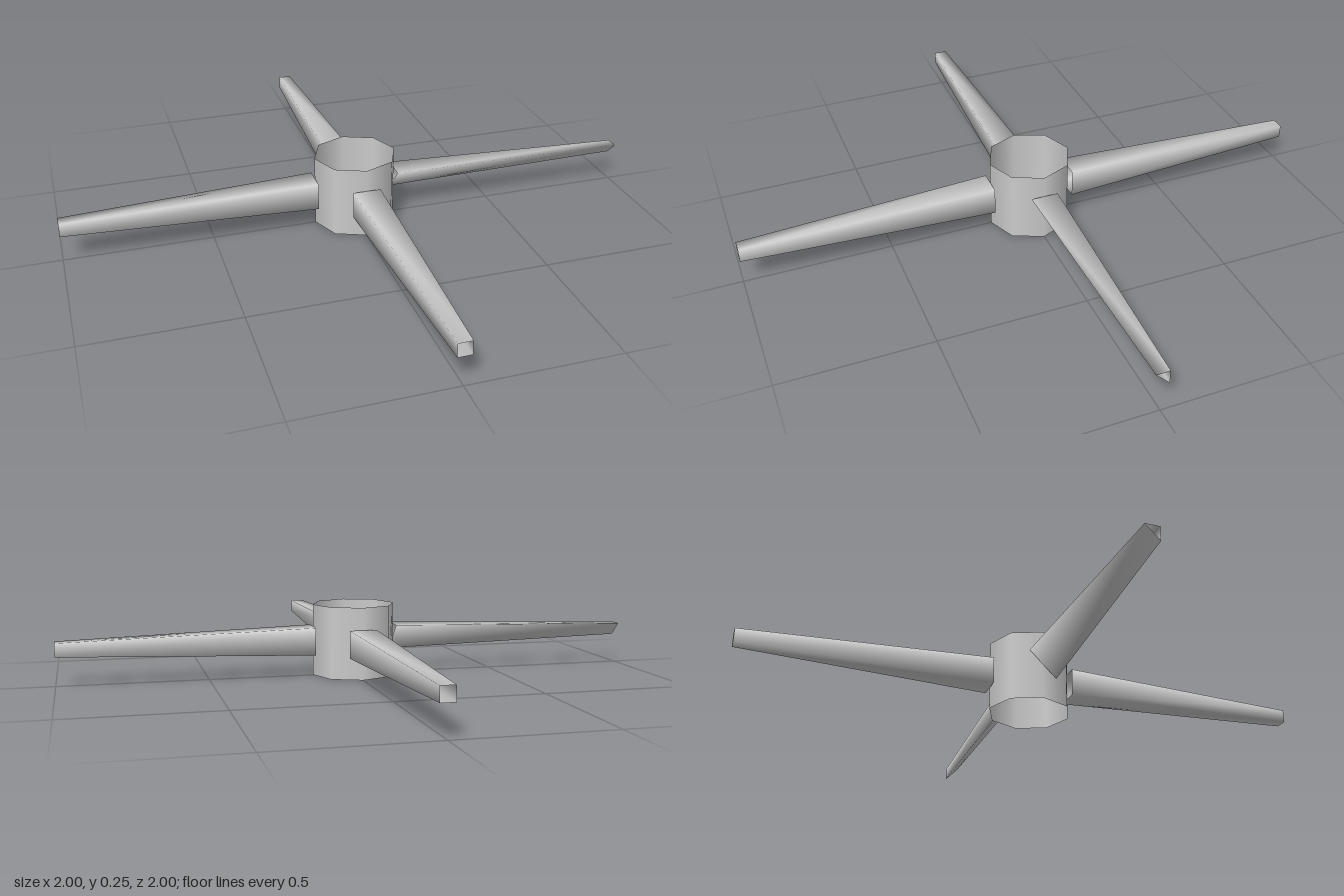
import * as THREE from 'three';

const MID = 0.1225; // height of the arm axes

// Open tapered tube along +x; corners are unit (y, z) pairs in ring order.
function taperedArm(corners, smooth) {
  const stations = [[0.142, 0.047], [1, 0.023]]; // distance from hub axis, half width
  const n = corners.length, pos = [], idx = [];
  for (const [x, h] of stations)
    for (const [y, z] of corners) pos.push(x, y * h, z * h);
  for (let i = 0; i < n; i++) {
    const j = (i + 1) % n;
    idx.push(i, j, n + i, j, n + j, n + i);
  }
  let geo = new THREE.BufferGeometry();
  geo.setAttribute('position', new THREE.Float32BufferAttribute(pos, 3));
  geo.setIndex(idx);
  if (!smooth) geo = geo.toNonIndexed();
  geo.computeVertexNormals();
  return geo;
}

export function createModel() {
  const grey = new THREE.MeshStandardMaterial({ color: 0xcccccc, side: THREE.DoubleSide });
  grey.name = 'light grey';
  const model = new THREE.Group();
  model.name = 'fourArmHub';

  // Open eight-sided hub ring
  const hub = new THREE.Mesh(new THREE.CylinderGeometry(0.142, 0.142, 0.245, 8, 1, true), grey);
  hub.name = 'hub';
  hub.position.y = MID;
  model.add(hub);

  // Square arms run front and back, three-sided arms run left and right
  const square = taperedArm([[1, 1], [-1, 1], [-1, -1], [1, -1]], true);
  const wedge = taperedArm([[1, 1], [-1, -1], [1, -1]], true);
  const names = ['leftArm', 'backArm', 'rightArm', 'frontArm'];
  names.forEach((name, i) => {
    const arm = new THREE.Mesh(i % 2 ? square : wedge, grey);
    arm.name = name;
    arm.position.y = MID;
    arm.rotation.y = i * Math.PI / 2;
    model.add(arm);
  });
  return model;
}
